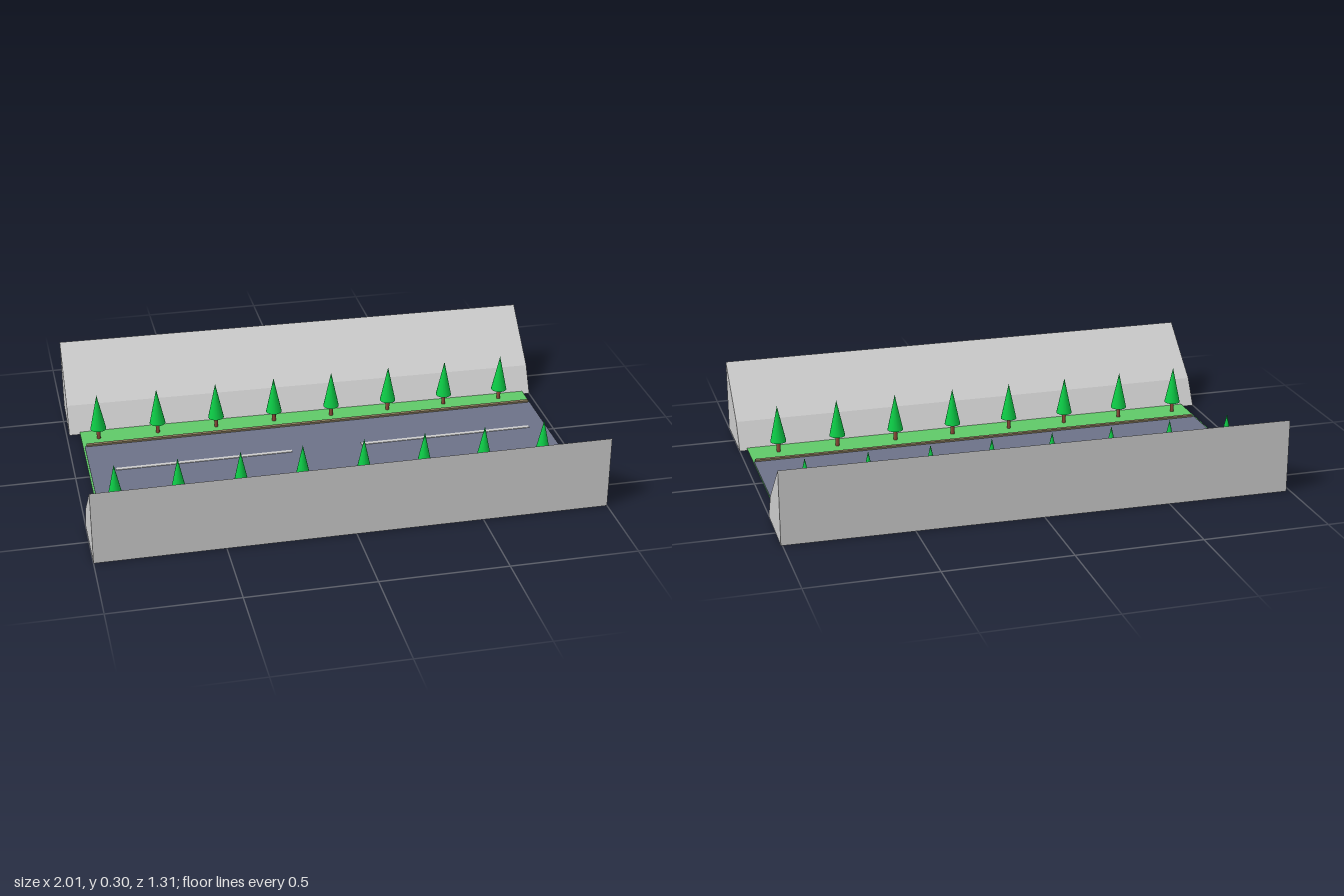
import * as THREE from 'three';

const mat = (color, extra = {}) => new THREE.MeshStandardMaterial({ color, ...extra });
const grey = mat(0xcccccc);
const grass = mat(0x60c968);
const asphalt = mat(0x6c7288);
const curbMat = mat(0x86785a);
const bark = mat(0x8b4a38);
const foliage = mat(0x0ccc46);

function add(parent, name, geometry, material, x = 0, y = 0, z = 0) {
  const mesh = new THREE.Mesh(geometry, material);
  mesh.name = name;
  mesh.position.set(x, y, z);
  parent.add(mesh);
  return mesh;
}

// Box given by its lower and upper limits on each axis
function slab(parent, name, material, [x0, x1], [y0, y1], [z0, z1]) {
  const geometry = new THREE.BoxGeometry(x1 - x0, y1 - y0, z1 - z0);
  return add(parent, name, geometry, material, (x0 + x1) / 2, (y0 + y1) / 2, (z0 + z1) / 2);
}

// Hillside with its foot at the origin, rising outwards along +x, centred along z
function embankmentGeometry(length) {
  const shape = new THREE.Shape([
    new THREE.Vector2(0, 0),
    new THREE.Vector2(0.286, 0),
    new THREE.Vector2(0.286, 0.296),
    new THREE.Vector2(0.063, 0.106),
  ]);
  return new THREE.ExtrudeGeometry(shape, { depth: length, bevelEnabled: false })
    .translate(0, 0, -length / 2);
}

export function createModel() {
  const model = new THREE.Group();
  model.name = 'valleyRoad';

  // Hillsides: the back one is turned slightly off the road's axis
  const front = add(model, 'frontEmbankment', embankmentGeometry(2), grey, 0, 0, 0.369);
  front.rotation.y = -Math.PI / 2;
  const back = add(model, 'backEmbankment', embankmentGeometry(1.99), grey, 0.006, 0, -0.352);
  back.rotation.y = Math.PI / 2 - 0.0175;

  // Valley floor and road
  slab(model, 'ground', grass, [-0.945, 0.97], [0.008, 0.0105], [-0.37, 0.37]);
  slab(model, 'road', asphalt, [-0.938, 0.968], [0.0095, 0.014], [-0.235, 0.205]);
  for (const z of [-0.237, 0.206]) {
    slab(model, 'curb', curbMat, [-0.93, 0.962], [0.005, 0.021], [z - 0.008, z + 0.008]);
  }
  for (const x of [-0.835, 0.175]) {
    slab(model, 'laneMarking', grey, [x, x + 0.72], [0.0125, 0.016], [-0.023, -0.006]);
  }

  // A row of conifers on each verge
  const trunk = new THREE.CylinderGeometry(0.008, 0.008, 0.046, 12);
  const crown = new THREE.ConeGeometry(0.033, 0.153, 16);
  for (const z of [-0.302, 0.297]) {
    for (let i = 0; i < 8; i++) {
      const tree = new THREE.Group();
      tree.name = 'tree';
      tree.position.set(-0.873 + i * 0.2462, 0.01, z);
      add(tree, 'trunk', trunk, bark, 0, 0.023, 0);
      add(tree, 'crown', crown, foliage, 0, 0.1215, 0);
      model.add(tree);
    }
  }
  return model;
}
